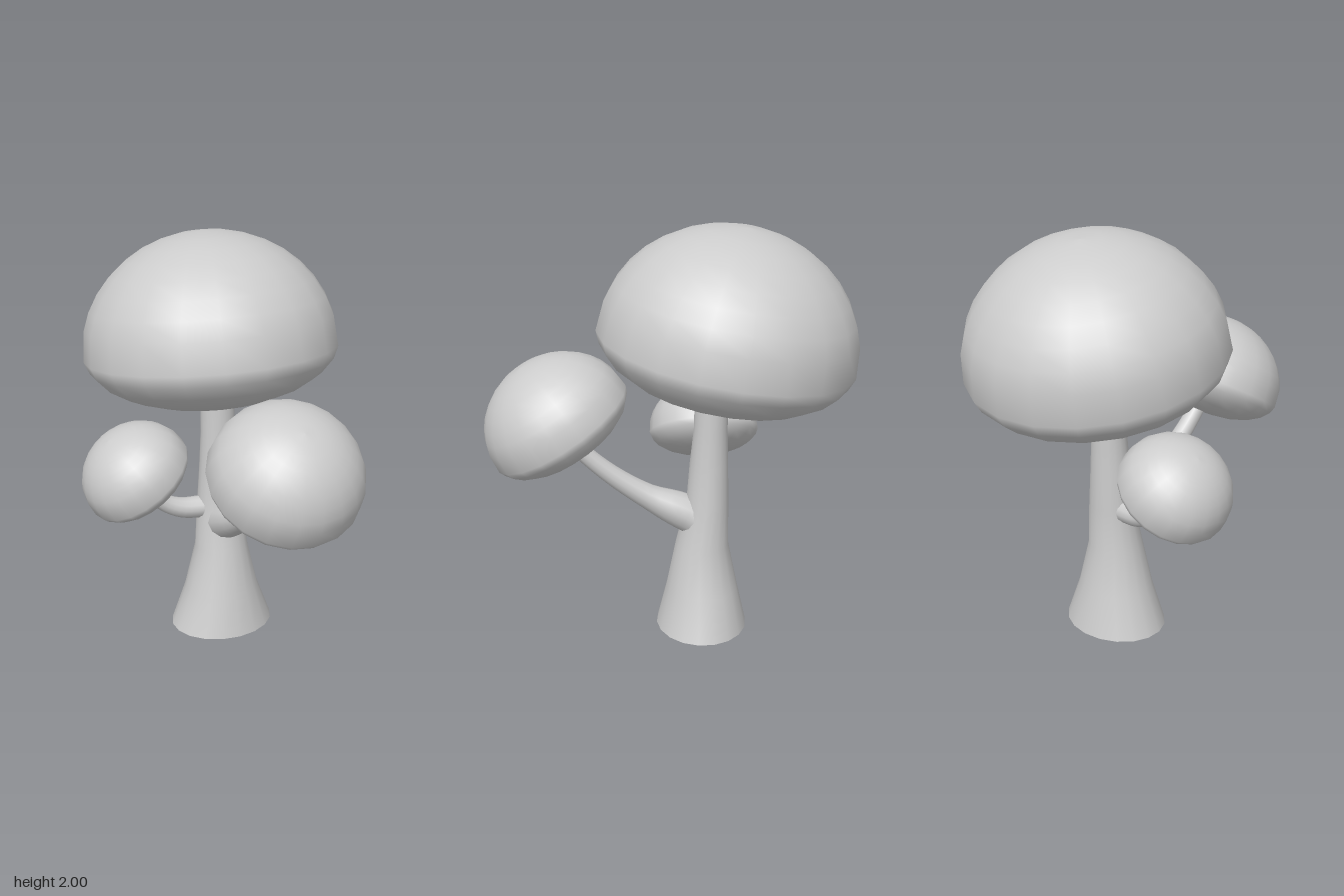
import * as THREE from 'three';
import { mergeVertices } from 'three/addons/utils/BufferGeometryUtils.js';

const grey = new THREE.MeshStandardMaterial({ color: 0xcccccc });
grey.name = 'light grey';

// Weld seams so the shading runs smoothly all round
function smooth(geometry) {
  geometry.deleteAttribute('uv');
  geometry.deleteAttribute('normal');
  const welded = mergeVertices(geometry, 1e-4);
  welded.computeVertexNormals();
  return welded;
}

function part(name, geometry) {
  const mesh = new THREE.Mesh(geometry, grey);
  mesh.name = name;
  return mesh;
}

// Mushroom cap: bulging underside, rounded rim and elliptical dome
function capGeometry() {
  const profile = [[0, -0.27], [0.15, -0.268], [0.3, -0.248], [0.435, -0.202],
    [0.53, -0.145], [0.59, -0.08], [0.615, -0.02]].map(([x, y]) => new THREE.Vector2(x, y));
  const steps = 9;
  for (let i = 1; i <= steps; i++) {
    const a = (i / steps) * Math.PI / 2 ;
    const b = 0.06 + a * (1 - 0.06 / (Math.PI / 2));
    profile.push(new THREE.Vector2(i === steps ? 0 : 0.617 * Math.cos(b), 0.56 * Math.sin(b)));
  }
  return new THREE.LatheGeometry(profile, 20);
}

// Curved branch whose radius varies along its length
function branchGeometry(points, radii) {
  const path = new THREE.CatmullRomCurve3(points.map(p => new THREE.Vector3(...p)));
  const rows = 14, sides = 12;
  const geometry = new THREE.TubeGeometry(path, rows, 1, sides);
  const pos = geometry.attributes.position;
  const v = new THREE.Vector3();
  for (let i = 0; i < pos.count; i++) {
    const t = Math.floor(i / (sides + 1)) / rows;
    const centre = path.getPointAt(t);
    const s = t * (radii.length - 1);
    const k = Math.min(Math.floor(s), radii.length - 2);
    const r = THREE.MathUtils.lerp(radii[k], radii[k + 1], s - k);
    v.fromBufferAttribute(pos, i).sub(centre).multiplyScalar(r).add(centre);
    pos.setXYZ(i, v.x, v.y, v.z);
  }
  return smooth(geometry);
}

// Flared trunk; each row is height, centre z, radius in x, radius in z
function trunkGeometry() {
  const rows = [[0, -0.157, 0.26, 0.222], [0.2, -0.158, 0.186, 0.176], [0.43, -0.157, 0.133, 0.13],
    [0.65, -0.183, 0.112, 0.103], [0.85, -0.188, 0.096, 0.093], [1.03, -0.195, 0.085, 0.081],
    [1.25, -0.2, 0.083, 0.08]];
  const geometry = new THREE.CylinderGeometry(1, 1, 1, 18, rows.length - 1, true);
  const pos = geometry.attributes.position;
  for (let i = 0; i < pos.count; i++) {
    const [y, cz, rx, rz] = rows[Math.round((pos.getY(i) + 0.5) * (rows.length - 1))];
    pos.setXYZ(i, 0.034 + pos.getX(i) * rx, y, cz + pos.getZ(i) * rz);
  }
  return smooth(geometry);
}

export function createModel() {
  const model = new THREE.Group();
  model.name = 'mushroomCluster';

  // Trunk and its flat foot
  model.add(part('trunk', trunkGeometry()));
  const foot = part('trunkFoot', new THREE.CircleGeometry(1, 18));
  foot.rotation.set(Math.PI / 2, 0, 0);
  foot.scale.set(0.26, 0.222, 1);
  foot.position.set(0.034, 0, -0.157);
  model.add(foot);

  // Branches carrying the small caps
  model.add(part('frontBranch', branchGeometry(
    [[0.034, 0.575, -0.12], [0.034, 0.61, -0.05], [0.034, 0.69, 0.11], [0.034, 0.815, 0.29],
      [0.034, 0.945, 0.43], [0.034, 0.99, 0.46]],
    [0.095, 0.085, 0.062, 0.053, 0.047, 0.043, 0.042])));
  model.add(part('rightBranch', branchGeometry(
    [[0.02, 0.64, -0.18], [-0.07, 0.64, -0.19], [-0.165, 0.65, -0.2], [-0.255, 0.693, -0.21],
      [-0.318, 0.765, -0.21], [-0.335, 0.79, -0.21]],
    [0.06, 0.056, 0.052, 0.046, 0.04, 0.038])));

  // Three caps of one shape, leaning outward
  const cap = capGeometry();
  const deg = Math.PI / 180;
  for (const [name, scale, position, tiltX, tiltZ] of [
    ['mainCap', 1, [0.033, 1.44, -0.267], -10, 0],
    ['frontCap', 0.588, [0.033, 1.075, 0.52], 32, 0],
    ['rightCap', 0.449, [-0.386, 0.865, -0.208], 0, 35],
  ]) {
    const mesh = part(name, cap);
    mesh.scale.setScalar(scale);
    mesh.position.set(...position);
    mesh.rotation.set(tiltX * deg, 0, tiltZ * deg);
    model.add(mesh);
  }
  return model;
}
